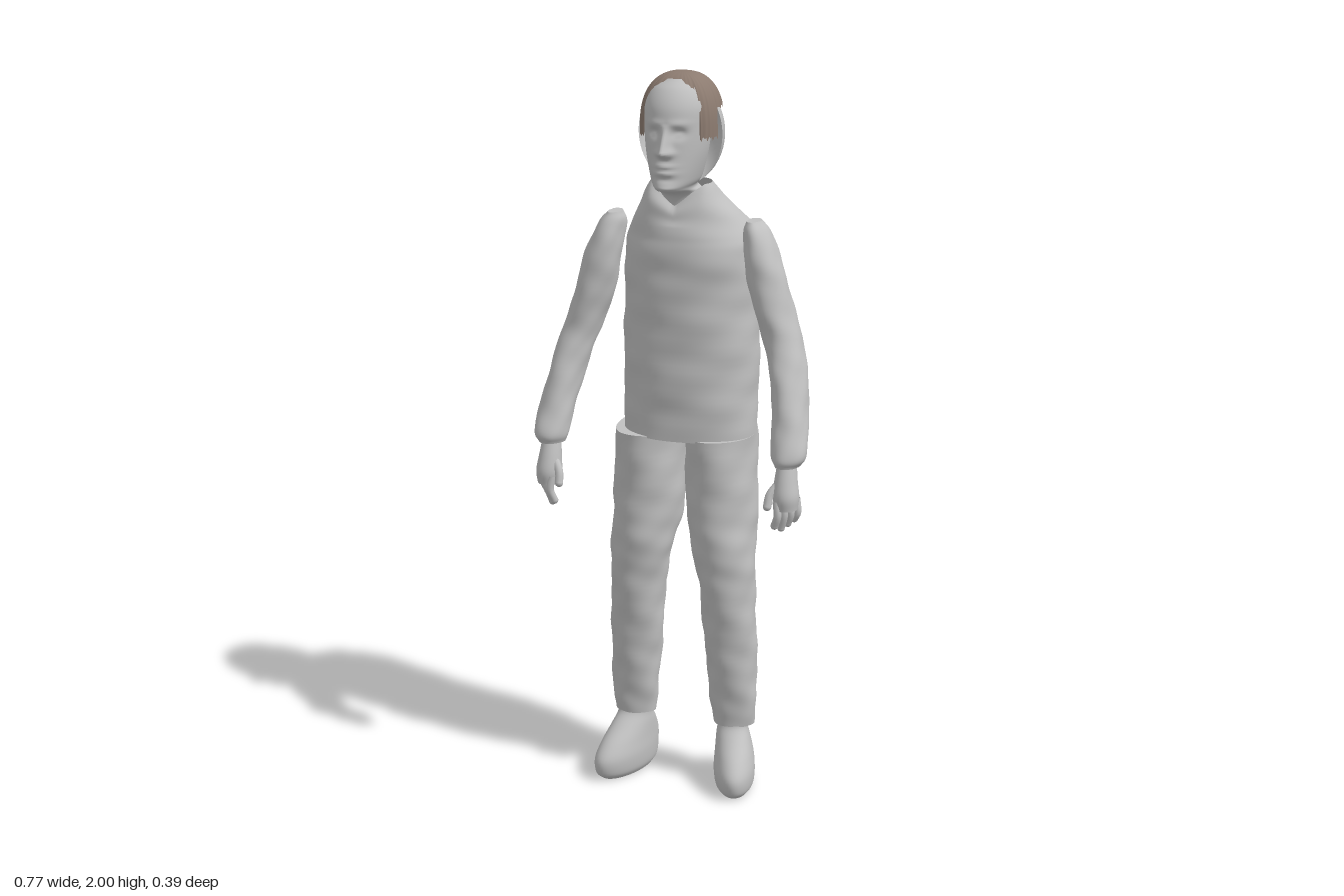
import * as THREE from 'three';

const grey = new THREE.MeshStandardMaterial({ color: 0xc0c0c0, side: THREE.DoubleSide });
grey.name = 'pale grey';
const brown = new THREE.MeshStandardMaterial({ color: 0x8c7b70, side: THREE.DoubleSide });
brown.name = 'hair brown';

const gauss = (d, w) => Math.exp(-(d * d) / (w * w));
const spow = (v, e) => Math.sign(v) * Math.pow(Math.abs(v), e);

// soft cloth wrinkles
const wrinkle = (u, y, k) =>
  k * (Math.sin(u * 3 + y * 31) + Math.sin(u * 5 - y * 47 + 1.3) * 0.7 + Math.sin(u * 2 + y * 83) * 0.5);

// smooth skin through horizontal sections [y, cx, cz, rx, rz], lowest first
function loft(sections, { side = 1, cols = 48, rows = 48, power = 2, folds = 0, caps = true, shape } = {}) {
  const centre = new THREE.CatmullRomCurve3(
    sections.map(([y, x, z]) => new THREE.Vector3(x * side, y, z)), false, 'catmullrom', 0.5);
  const radius = new THREE.CatmullRomCurve3(
    sections.map((s) => new THREE.Vector3(s[3], s[4], 0)), false, 'catmullrom', 0.5);
  const pos = [], idx = [], p = new THREE.Vector3();
  for (let j = 0; j <= rows; j++) {
    const c = centre.getPoint(j / rows), r = radius.getPoint(j / rows);
    for (let i = 0; i < cols; i++) {
      const u = (i / cols) * Math.PI * 2, w = wrinkle(u + side, c.y, folds);
      p.set(c.x + (r.x + w) * spow(Math.sin(u), 2 / power), c.y,
        c.z + (r.y + w) * spow(Math.cos(u), 2 / power));
      if (shape) shape(p);
      pos.push(p.x, p.y, p.z);
      if (j < rows) {
        const a = j * cols + i, b = j * cols + (i + 1) % cols;
        idx.push(a, b, b + cols, a, b + cols, a + cols);
      }
    }
  }
  // end caps with their own corners, so their edges stay sharp
  if (caps) for (const j of [0, rows]) {
    const base = pos.length / 3, c = centre.getPoint(j / rows);
    p.copy(c);
    if (shape) shape(p);
    pos.push(p.x, p.y, p.z);
    for (let i = 0; i < cols; i++) {
      const k = (j * cols + i) * 3;
      pos.push(pos[k], pos[k + 1], pos[k + 2]);
      const a = base + 1 + i, b = base + 1 + (i + 1) % cols;
      if (j) idx.push(base, a, b); else idx.push(base, b, a);
    }
  }
  return finish(pos, idx);
}

function finish(pos, idx) {
  const g = new THREE.BufferGeometry();
  g.setAttribute('position', new THREE.Float32BufferAttribute(pos, 3));
  g.setIndex(idx);
  g.computeVertexNormals();
  return g;
}

function add(parent, name, geometry, material = grey) {
  const m = new THREE.Mesh(geometry, material);
  m.name = name;
  parent.add(m);
  return m;
}

// nose, eye sockets, brow and lips pushed into the front of the head
function sculptFace(p) {
  if (p.z < 0.06) return;
  const x = Math.abs(p.x), y = p.y;
  const ridge = y > 1.803 ? Math.max(0, 1 - (y - 1.803) / 0.075) : Math.max(0, 1 - (1.803 - y) / 0.016);
  p.z += 0.036 * ridge * gauss(x, 0.012 + 0.007 * gauss(y - 1.8, 0.015));
  p.z -= 0.013 * gauss(x - 0.034, 0.018) * gauss(y - 1.853, 0.013);
  p.z += 0.005 * gauss(x - 0.034, 0.01) * gauss(y - 1.85, 0.007);
  p.z += 0.004 * gauss(x - 0.03, 0.03) * gauss(y - 1.878, 0.01);
  p.z += 0.007 * gauss(x, 0.026) * (gauss(y - 1.769, 0.006) + gauss(y - 1.751, 0.006));
  p.z -= 0.005 * gauss(x, 0.03) * gauss(y - 1.735, 0.008);
}

// hair cap whose hem is short over the brow, long at the temples
function hairGeometry() {
  const cols = 120, rows = 18, pos = [], idx = [];
  for (let j = 0; j <= rows; j++) for (let i = 0; i < cols; i++) {
    const u = (i / cols) * Math.PI * 2, t = Math.abs(u > Math.PI ? u - 2 * Math.PI : u);
    const jag = 0.008 * Math.sin(i * 2.4) * Math.sin(i * 0.9);
    const hem = (t < 0.72 ? 1.958 - 0.015 * t : t < 1.42 ? 1.835 : 1.908) + jag;
    const h = (hem - 1.85) / 0.15;
    const start = h > 0 ? Math.asin(Math.pow(h, 1.25)) : h;
    const a = start + (Math.PI / 2 - start) * (j / rows);
    const s = a < 0 ? 1 : Math.pow(Math.max(0, Math.cos(a)), 0.8);
    const y = 1.85 + 0.15 * (a < 0 ? a : Math.pow(Math.sin(a), 0.8));
    const strand = 1 + 0.012 * Math.sin(i * 1.9);
    pos.push(0.107 * s * strand * spow(Math.sin(u), 0.8), y, 0.015 + 0.1 * s * strand * spow(Math.cos(u), 0.8));
    if (j < rows) {
      const k = j * cols + i, n = j * cols + (i + 1) % cols;
      idx.push(k, n, n + cols, k, n + cols, k + cols);
    }
  }
  return finish(pos, idx);
}

// finger as a tapering-free bent tube with a round tip
function finger(parent, name, points, r) {
  const pts = points.map((q) => new THREE.Vector3(...q));
  add(parent, name, new THREE.TubeGeometry(new THREE.CatmullRomCurve3(pts), 8, r, 10));
  add(parent, name + 'Tip', new THREE.SphereGeometry(r, 10, 8)).position.copy(pts[pts.length - 1]);
}

export function createModel() {
  const model = new THREE.Group();
  model.name = 'standingMan';

  // jacket with a V-shaped collar opening
  add(model, 'jacket', loft([
    [1.015, 0.012, -0.022, 0.184, 0.135], [1.2, 0.012, -0.027, 0.186, 0.14],
    [1.4, 0.012, -0.037, 0.186, 0.149], [1.52, 0.014, -0.042, 0.184, 0.155],
    [1.57, 0.012, -0.043, 0.174, 0.147], [1.62, 0.005, -0.02, 0.142, 0.115],
    [1.67, 0, 0, 0.108, 0.088], [1.71, 0, 0.012, 0.083, 0.06],
  ], {
    rows: 80, cols: 72, power: 2.2, folds: 0.0015, caps: false,
    shape: (p) => {
      if (p.z > 0) p.y -= 0.055 * Math.max(0, 1 - Math.abs(p.x) / 0.075) * Math.max(0, (p.y - 1.6) / 0.11);
    },
  }));

  // head, back of skull and hair
  const head = new THREE.Group();
  head.name = 'head';
  model.add(head);
  add(head, 'faceAndNeck', loft([
    [1.6, 0, 0.012, 0.058, 0.058], [1.68, 0, 0.018, 0.056, 0.066], [1.705, 0, 0.058, 0.048, 0.1],
    [1.73, 0, 0.055, 0.062, 0.104], [1.8, 0, 0.05, 0.08, 0.1], [1.87, 0, 0.045, 0.087, 0.099],
    [1.92, 0, 0.04, 0.087, 0.095], [1.96, 0, 0.03, 0.072, 0.08], [1.985, 0, 0.025, 0.042, 0.05],
  ], { cols: 120, rows: 120, shape: sculptFace }));
  const skull = add(head, 'backOfSkull',
    new THREE.SphereGeometry(1, 40, 32, Math.PI, Math.PI));
  skull.scale.set(0.117, 0.14, 0.125);
  skull.position.set(0, 1.84, 0.03);
  add(head, 'hair', hairGeometry(), brown);

  for (const s of [1, -1]) {
    const word = s > 0 ? 'left' : 'right';

    // trouser leg
    add(model, word + 'TrouserLeg', loft([
      [0.175, 0.147, 0, 0.058, 0.045], [0.25, 0.146, 0, 0.066, 0.054], [0.4, 0.14, 0.003, 0.073, 0.067],
      [0.6, 0.129, 0.01, 0.078, 0.085], [0.7, 0.118, 0.005, 0.088, 0.101],
      [0.8, 0.108, -0.012, 0.096, 0.117], [1.02, 0.1, -0.021, 0.096, 0.132],
    ], { side: s, rows: 70, folds: 0.0016 }));

    // shoe with the toe turned outward
    add(model, word + 'Shoe', loft([
      [0, 0.155, 0.03, 0.046, 0.1], [0.02, 0.155, 0.033, 0.057, 0.119], [0.06, 0.154, 0.033, 0.06, 0.122],
      [0.1, 0.152, 0.02, 0.056, 0.105], [0.14, 0.148, 0.008, 0.05, 0.07],
      [0.17, 0.146, 0.003, 0.045, 0.043], [0.195, 0.146, 0, 0.05, 0.04],
    ], { side: s, rows: 30, shape: (p) => { p.x += s * 0.24 * p.z; } }));

    // sleeve
    add(model, word + 'Sleeve', loft([
      [0.99, 0.337, 0.13, 0.034, 0.042], [1.02, 0.339, 0.125, 0.047, 0.053], [1.1, 0.331, 0.087, 0.048, 0.06],
      [1.22, 0.309, 0.04, 0.049, 0.066], [1.3, 0.285, 0.014, 0.052, 0.066], [1.4, 0.252, 0.011, 0.053, 0.065],
      [1.5, 0.228, 0.01, 0.049, 0.061], [1.58, 0.206, 0.002, 0.037, 0.048], [1.613, 0.197, 0, 0.018, 0.034],
    ], { side: s, rows: 60, cols: 40, folds: 0.0012 }));

    // hand
    const hand = new THREE.Group();
    hand.name = word + 'Hand';
    model.add(hand);
    add(hand, 'palm', loft([
      [0.875, 0.341, 0.147, 0.03, 0.034], [0.91, 0.34, 0.147, 0.035, 0.039],
      [0.95, 0.338, 0.142, 0.031, 0.034], [1.0, 0.337, 0.13, 0.025, 0.028],
    ], { side: s, rows: 16, cols: 24 }));
    for (let i = 0; i < 4; i++) {
      const x = 0.322 + 0.013 * i, z = 0.172 - 0.017 * i, low = 0.822 + 0.009 * Math.abs(i - 1);
      finger(hand, 'finger', [[s * x, 0.9, z], [s * (x + 0.004), 0.86, z + 0.003], [s * (x - 0.006), low, z - 0.003]], 0.0105);
    }
    finger(hand, 'thumb', [[s * 0.322, 0.945, 0.15], [s * 0.302, 0.915, 0.168], [s * 0.298, 0.885, 0.178]], 0.0115);
  }
  return model;
}
